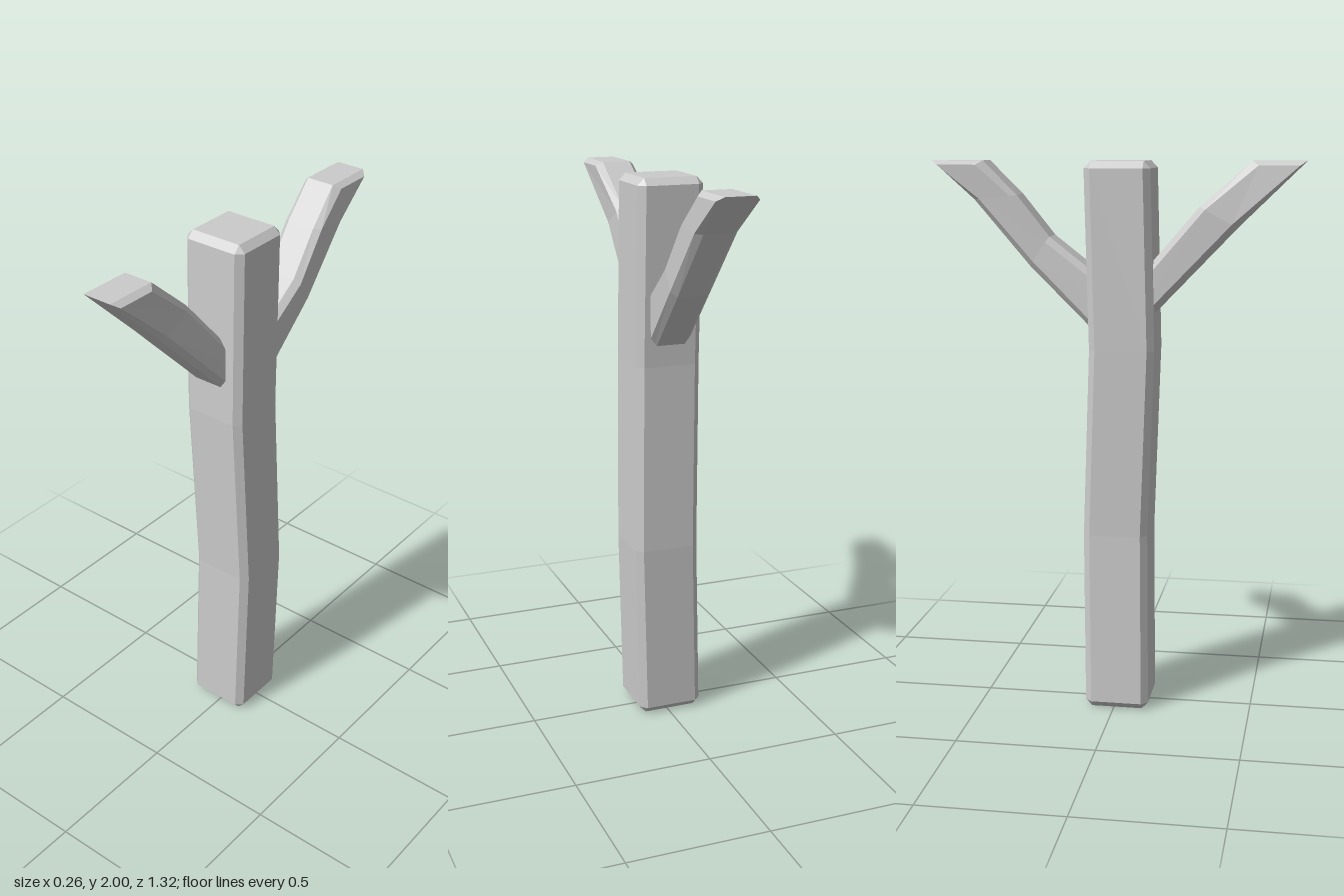
import * as THREE from 'three';

// Chamfered rectangular ring. front/back are [z, y] of its two edges, x its centre,
// h the half width, c the corner cut; drop lowers the side corners.
function ring(x, h, c, front, back, drop = 0) {
  const t = c / Math.hypot(front[0] - back[0], front[1] - back[1]);
  const at = (dx, k, d = 0) => new THREE.Vector3(
    x + dx,
    THREE.MathUtils.lerp(back[1], front[1], k) - d,
    THREE.MathUtils.lerp(back[0], front[0], k));
  return [
    at(c - h, 0), at(h - c, 0),
    at(h, t, drop), at(h, 1 - t, drop),
    at(h - c, 1), at(c - h, 1),
    at(-h, 1 - t, drop), at(-h, t, drop),
  ];
}

// Joins the rings from bottom to top and closes both ends.
function loft(name, rings) {
  const pos = [];
  const tri = (a, b, c) => {
    const n = b.clone().sub(a).cross(c.clone().sub(a));
    if (n.lengthSq() > 1e-14) pos.push(...a, ...b, ...c);
  };
  const quad = (a, b, c, d) => { tri(a, b, c); tri(a, c, d); };
  for (let r = 0; r < rings.length - 1; r++) {
    const lo = rings[r], hi = rings[r + 1];
    for (let i = 0; i < 8; i++) {
      const j = (i + 1) % 8;
      quad(lo[i], hi[i], hi[j], lo[j]);
    }
  }
  const first = rings[0], last = rings[rings.length - 1];
  for (const [a, b, c, d] of [[0, 1, 4, 5], [1, 2, 3, 4], [5, 6, 7, 0]]) {
    quad(first[a], first[b], first[c], first[d]);
    quad(last[d], last[c], last[b], last[a]);
  }
  const geo = new THREE.BufferGeometry();
  geo.setAttribute('position', new THREE.Float32BufferAttribute(pos, 3));
  geo.computeVertexNormals();
  const mesh = new THREE.Mesh(geo, new THREE.MeshStandardMaterial({ color: 0xcccccc, flatShading: true }));
  mesh.name = name;
  return mesh;
}

export function createModel() {
  const group = new THREE.Group();
  group.name = 'bareTree';

  // Trunk: slightly wandering square post with bevelled edges
  const post = (x, z, y, inset = 0) =>
    ring(x, 0.12 - inset, inset ? 0 : 0.024, [z + 0.117 - inset, y], [z - 0.117 + inset, y]);
  group.add(loft('trunk', [
    post(-0.01, 0.011, 0, 0.024),
    post(-0.01, 0.011, 0.025),
    post(0.007, 0.003, 0.66),
    post(-0.006, 0.027, 1.34),
    post(-0.01, 0.011, 1.975),
    post(-0.01, 0.011, 2, 0.024),
  ]));

  // Branches: bevelled bars rising outward, cut level at the tip
  const w = 0.075, c = 0.022;
  group.add(loft('frontBranch', [
    ring(-0.014, w, c, [0.05, 1.378], [-0.03, 1.465]),
    ring(-0.03, w, c, [0.43, 1.775], [0.297, 1.845]),
    ring(-0.012, w, c, [0.66, 2], [0.475, 2], 0.015),
  ]));
  group.add(loft('backBranch', [
    ring(-0.012, w, c, [0.03, 1.528], [-0.02, 1.347]),
    ring(0.001, w, c, [-0.24, 1.735], [-0.31, 1.63]),
    ring(-0.005, w, c, [-0.355, 1.88], [-0.51, 1.865]),
    ring(-0.012, w, c, [-0.475, 2], [-0.66, 2], 0.015),
  ]));
  return group;
}
